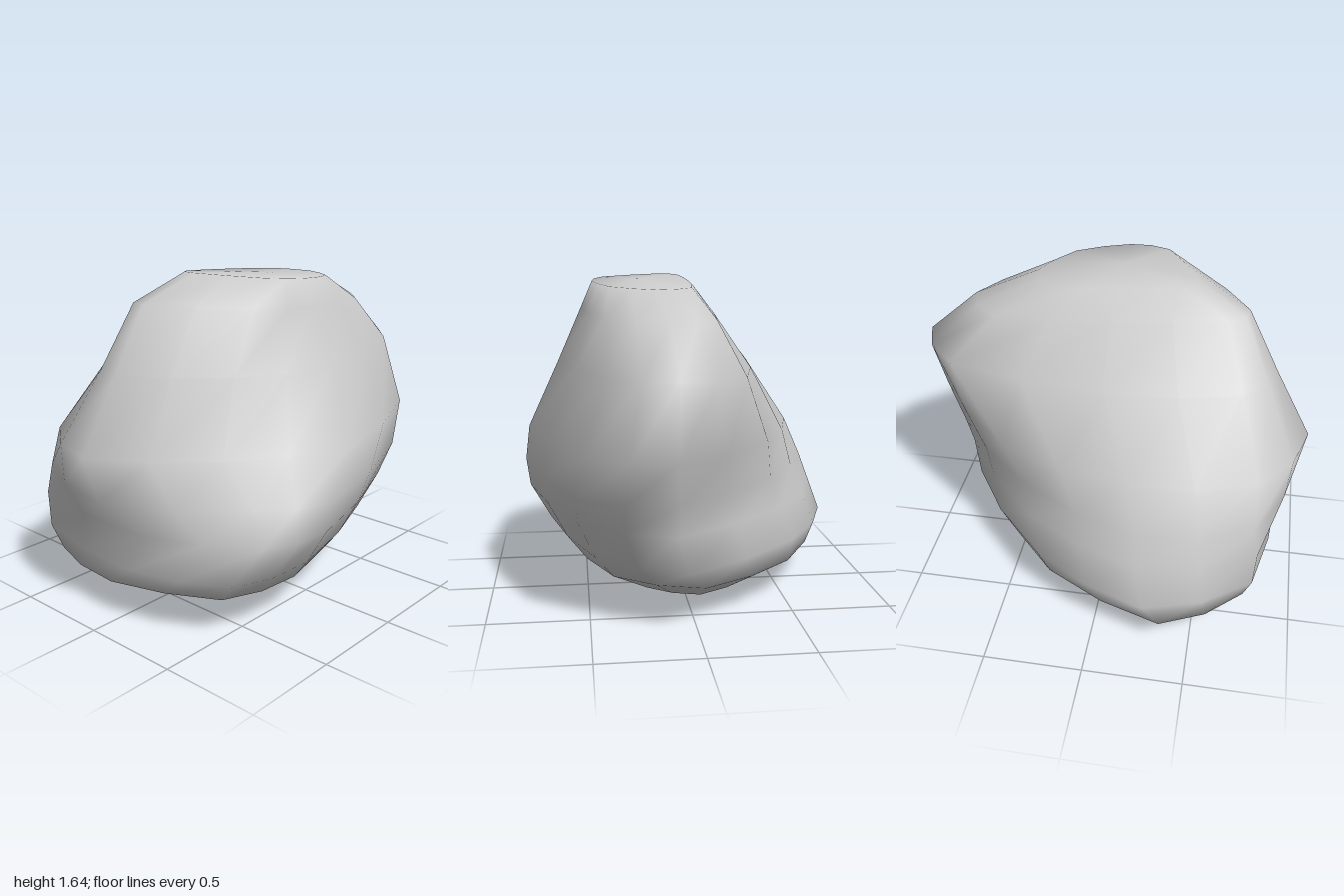
import * as THREE from 'three';

const SIDES = 16;

// Outlines [x, z] from the bottom up, each starting at +x and turning towards +z; tilt raises the front.
const outlines = [
  { y: 0.18, tilt: 0, p: [[.58, .2], [.48, .62], [-.05, .84], [-.53, .75], [-.8, .35], [-.53, -.26], [-.05, -.62], [.38, -.4]] },
  { y: 0.31, tilt: 0, p: [[.69, .25], [.6, .69], [.12, .87], [-.57, .79], [-.83, .27], [-.54, -.32], [.05, -.79], [.47, -.49]] },
  { y: 0.50, tilt: 0, p: [[.8, .25], [.71, .6], [.2, .86], [-.57, .8], [-.75, .22], [-.47, -.36], [.1, -.83], [.55, -.55]] },
  { y: 0.65, tilt: 0, p: [[.82, .24], [.63, .58], [.03, .96], [-.56, .77], [-.69, .2], [-.4, -.4], [.1, -.87], [.56, -.67]] },
  { y: 0.86, tilt: 0, p: [[.79, .08], [.48, .61], [-.02, 1], [-.48, .77], [-.59, .15], [-.36, -.52], [.12, -.95], [.52, -.79]] },
  { y: 1.21, tilt: 0, p: [[.63, 0], [.42, .47], [0, .81], [-.25, .65], [-.34, 0], [-.2, -.8], [.12, -1], [.42, -.75]] },
  { y: 1.48, tilt: 0.06, p: [[.51, 0], [.43, .36], [.03, .65], [-.1, .55], [-.13, 0], [-.1, -.58], [.13, -.74], [.41, -.48]] },
];

// Rounds an outline into a ring of SIDES points.
function makeRing({ y, tilt, p }) {
  const points = p.map(([x, z]) => new THREE.Vector3(x, y + tilt * z, z));
  const curve = new THREE.CatmullRomCurve3(points, true, 'catmullrom', 0.35);
  return Array.from({ length: SIDES }, (_, i) => curve.getPoint(i / SIDES));
}

// Shrinks a ring about (cx, cz) and lays it on a plane sloping along z.
function shrinkRing(ring, sx, sz, cx, cz, y, slope) {
  return ring.map((v) => {
    const z = cz + (v.z - cz) * sz;
    return new THREE.Vector3(cx + (v.x - cx) * sx, y + slope * z, z);
  });
}

function boulderGeometry() {
  const rings = outlines.map(makeRing);
  // Rounded underside and gently sloping crown
  rings.unshift(shrinkRing(rings[0], 0.6, 0.6, -0.08, 0.1, 0.04, 0));
  rings.push(shrinkRing(rings[rings.length - 1], 0.77, 0.57, 0.26, 0.02, 1.61, 0.08));

  const vertices = rings.flat();
  const bottom = vertices.push(new THREE.Vector3(-0.03, 0, 0.1)) - 1;
  const top = vertices.push(new THREE.Vector3(0.22, 1.62, 0.02)) - 1;
  const last = (rings.length - 1) * SIDES;
  const index = [];
  for (let j = 0; j < SIDES; j++) {
    const k = (j + 1) % SIDES;
    for (let r = 0; r < last; r += SIDES) {
      const a = r + j, b = r + k, c = a + SIDES, d = b + SIDES;
      index.push(a, c, b, b, c, d);
    }
    index.push(bottom, j, k, top, last + k, last + j);
  }
  const geometry = new THREE.BufferGeometry().setFromPoints(vertices);
  geometry.setIndex(index);
  geometry.computeVertexNormals();
  return geometry;
}

export function createModel() {
  const group = new THREE.Group();
  group.name = 'rock';
  const boulder = new THREE.Mesh(boulderGeometry(), new THREE.MeshStandardMaterial({ color: 0xcccccc }));
  boulder.name = 'boulder';
  group.add(boulder);
  return group;
}
